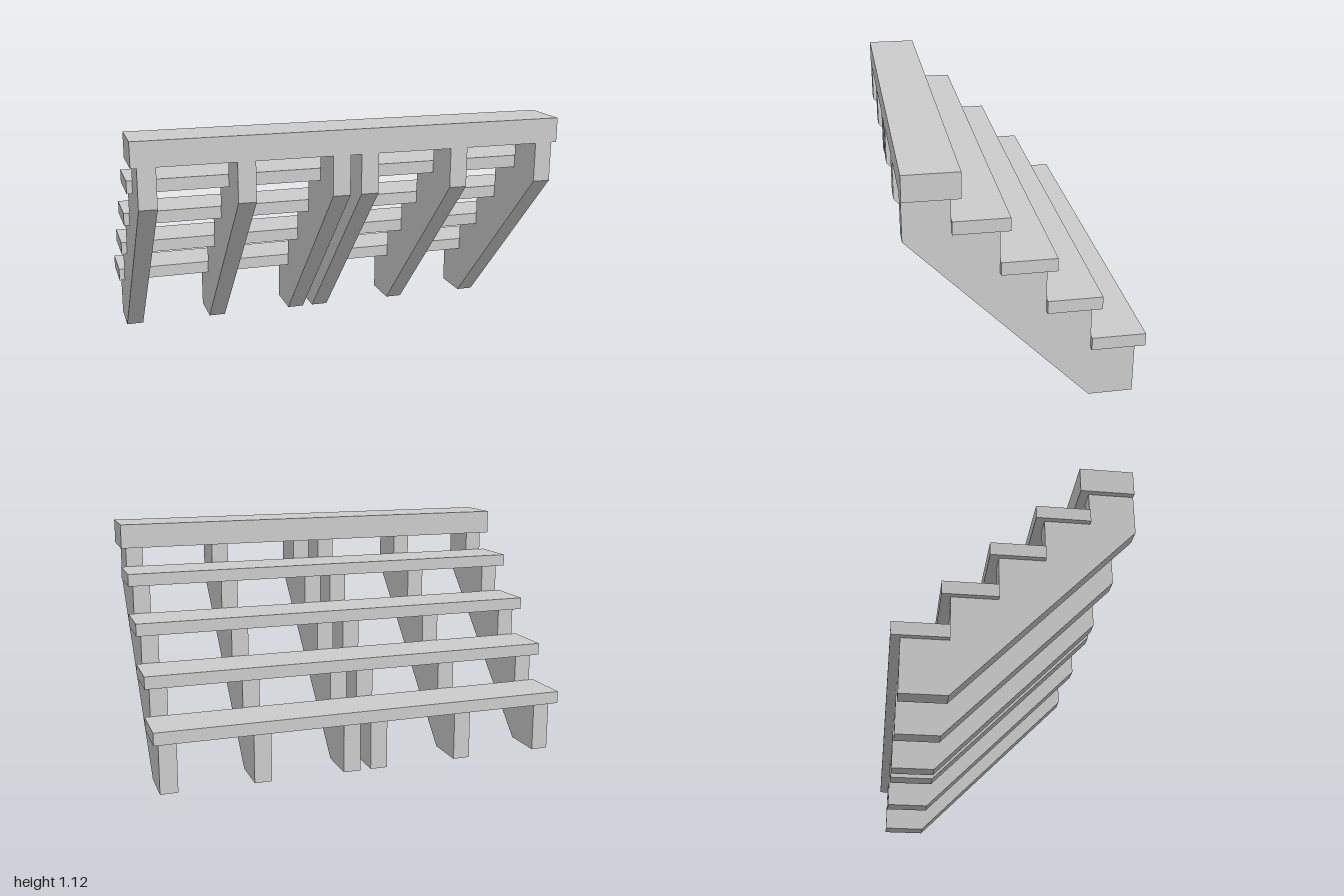
import * as THREE from 'three';

export function createModel() {
  const model = new THREE.Group();
  model.name = 'openStaircase';
  const material = new THREE.MeshStandardMaterial({ color: 0xcccccc, flatShading: true });

  const steps = 4, run = 0.2, rise = 0.2;
  const firstZ = -0.48, firstY = 0.243; // front edge and seat height of the lowest notch
  const treadDepth = 0.24, treadHeight = 0.059, nosing = 0.04;
  const backZ = 0.52, topY = 0.999;

  // Board spanning the full width, given by its lower edge and lowest z
  function addBoard(name, y, z, height) {
    const mesh = new THREE.Mesh(new THREE.BoxGeometry(2, height, treadDepth), material);
    mesh.position.set(0, y + height / 2, z + treadDepth / 2);
    mesh.name = name;
    model.add(mesh);
  }

  // Treads and the thicker landing board
  for (let i = 0; i < steps; i++) {
    addBoard(`tread${i + 1}`, firstY + i * rise, firstZ + i * run - nosing, treadHeight);
  }
  addBoard('landing', topY, firstZ + steps * run - nosing, 0.116);

  // Notched stringer profile, drawn in (z, y)
  const profile = new THREE.Shape();
  profile.moveTo(backZ, 0.815);
  profile.lineTo(-0.28, 0);
  profile.lineTo(firstZ, 0);
  for (let i = 0; i < steps; i++) {
    profile.lineTo(firstZ + i * run, firstY + i * rise);
    profile.lineTo(firstZ + (i + 1) * run, firstY + i * rise);
  }
  profile.lineTo(firstZ + steps * run, topY);
  profile.lineTo(backZ, topY);
  profile.closePath();

  // Stringers, mirrored in two flights of three
  const thickness = 0.082;
  const stringer = new THREE.ExtrudeGeometry(profile, { depth: thickness, bevelEnabled: false });
  stringer.translate(0, 0, -thickness / 2);
  stringer.rotateY(-Math.PI / 2);
  for (const side of [-1, 1]) {
    ['inner', 'middle', 'outer'].forEach((place, i) => {
      const mesh = new THREE.Mesh(stringer, material);
      mesh.position.x = side * (0.067 + i * 0.433);
      mesh.name = `${place}Stringer${side > 0 ? 'Left' : 'Right'}`;
      model.add(mesh);
    });
  }
  return model;
}
